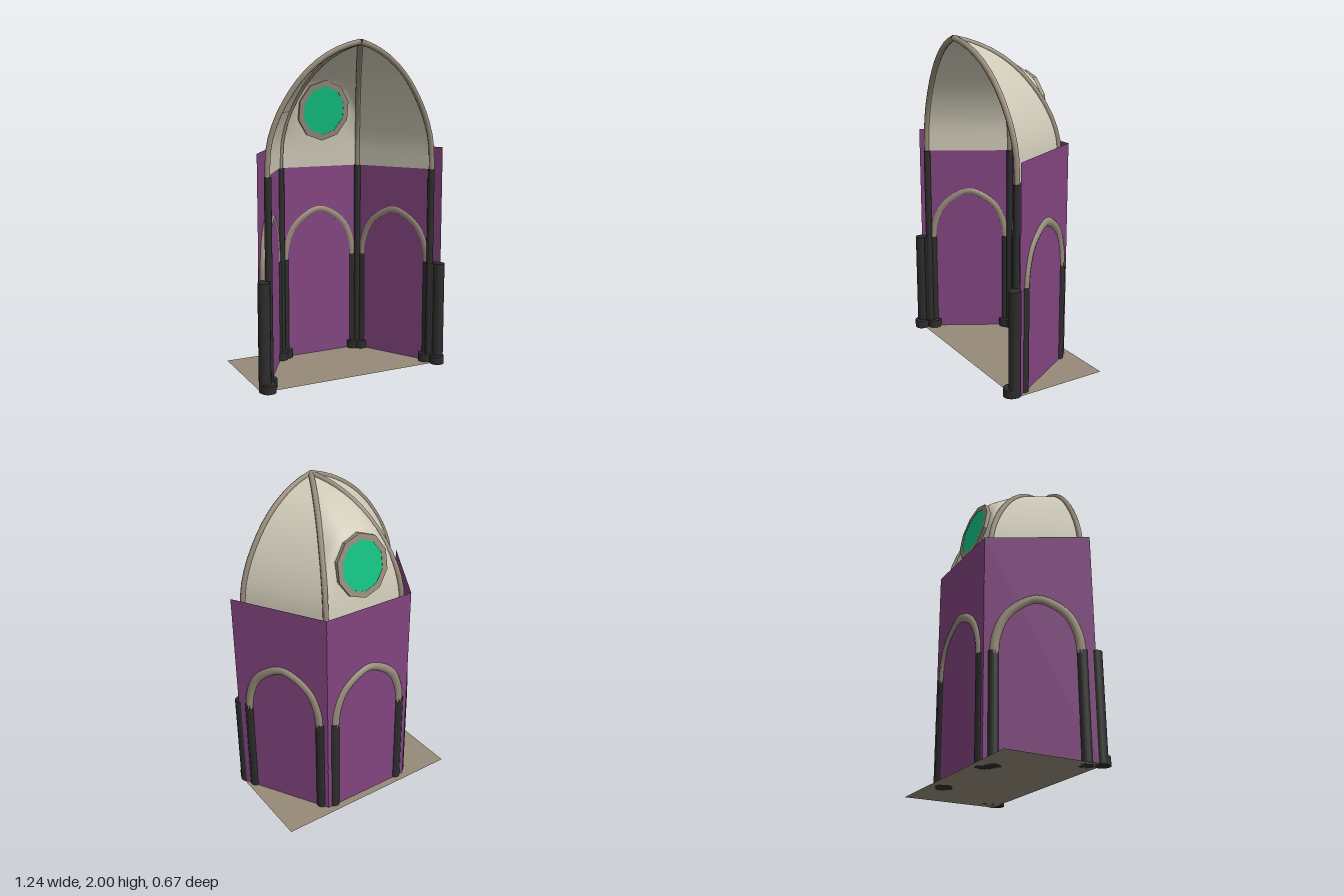
import * as THREE from 'three';

const mat = (name, color, side = THREE.FrontSide) => {
  const m = new THREE.MeshStandardMaterial({ color, side });
  m.name = name;
  return m;
};
const V = (x, y, z) => new THREE.Vector3(x, y, z);

export function createModel() {
  const purple = mat('purple wall', 0x81447f, THREE.DoubleSide);
  const cream = mat('cream dome', 0xcfcab8, THREE.DoubleSide);
  const tan = mat('tan stone', 0x968b79, THREE.DoubleSide);
  const black = mat('black column', 0x2c2c2c);
  const green = mat('green glass', 0x10c282);

  const model = new THREE.Group();
  model.name = 'openApse';
  const add = (parent, name, geo, material, x = 0, y = 0, z = 0) => {
    const m = new THREE.Mesh(geo, material);
    m.name = name;
    m.position.set(x, y, z);
    parent.add(m);
    return m;
  };
  const ZC = 0.232; // centre of the half hexagon

  // floor slab
  add(model, 'floor', new THREE.PlaneGeometry(1.22, 0.61).rotateX(-Math.PI / 2), tan, 0, 0, -0.03);

  const column = (parent, name, x, z, r, h) =>
    add(parent, name, new THREE.CylinderGeometry(r, r, h, 16), black, x, h / 2, z);

  // three wall bays, each with inner and outer skin, an arch and two legs
  const archCurve = new THREE.CatmullRomCurve3([
    V(-0.243, 0.62, 0), V(-0.232, 0.72, 0), V(-0.185, 0.84, 0), V(-0.105, 0.915, 0), V(0, 0.956, 0),
    V(0.105, 0.915, 0), V(0.185, 0.84, 0), V(0.232, 0.72, 0), V(0.243, 0.62, 0)]);
  for (const [label, k] of [['back', 0], ['left', -1], ['right', 1]]) {
    const bay = new THREE.Group();
    bay.name = label + 'Bay';
    bay.position.z = ZC;
    bay.rotation.y = k * Math.PI / 3;
    model.add(bay);
    add(bay, 'innerWall', new THREE.PlaneGeometry(0.551, 1.23), purple, 0, 0.615, -0.477);
    // the side bays run slightly past the front corner
    add(bay, 'outerWall', new THREE.PlaneGeometry(k ? 0.62 : 0.6, 1.365), purple, -k * 0.01, 0.6825, -0.519);
    add(bay, 'arch', new THREE.TubeGeometry(archCurve, 32, 0.032, 10), tan, 0, 0, -0.503);
    for (const s of [-1, 1]) {
      column(bay, 'archLeg', s * 0.245, -0.5, 0.035, 0.64);
      column(bay, 'legBase', s * 0.245, -0.474, 0.045, 0.05);
    }
  }

  // corner shafts, and the end columns at the open front
  const corners = [[-1, 0], [-0.5, -0.866], [0.5, -0.866], [1, 0]];
  corners.forEach(([cx, cz]) => {
    column(model, 'cornerShaft', cx * 0.54, ZC + cz * 0.54, 0.021, 1.23);
    column(model, 'cornerColumn', cx * 0.56, ZC + cz * 0.56, 0.032, 0.64);
  });
  for (const s of [-1, 1]) {
    column(model, 'frontColumn', s * 0.585, 0.268, 0.036, 0.64);
    column(model, 'frontColumnBase', s * 0.57, 0.285, 0.045, 0.05);
  }

  // dome ribs: height against share of the base radius
  const profile = [[1.23, 1], [1.4, 0.98], [1.53, 0.91], [1.65, 0.8], [1.78, 0.63], [1.88, 0.43], [1.95, 0.2], [1.983, 0]];
  const ribs = corners.map(([cx, cz]) => new THREE.CatmullRomCurve3(profile.map(([y, f]) =>
    V(cx * 0.543 * f, y, THREE.MathUtils.lerp(0.313, ZC + cz * 0.543, f)))));
  ribs.forEach((c) => add(model, 'domeRib', new THREE.TubeGeometry(c, 14, 0.017, 8), tan));

  // dome panels between neighbouring ribs, optionally bulging to a middle line
  const backMiddle = new THREE.CatmullRomCurve3([
    V(0, 1.23, -0.24), V(0, 1.4, -0.222), V(0, 1.58, -0.194), V(0, 1.75, -0.163),
    V(0, 1.82, -0.07), V(0, 1.89, 0.05), V(0, 1.95, 0.2), V(0, 1.983, 0.313)]);
  const panel = (a, b, middle) => {
    const ROWS = 21, COLS = 12, pos = [], idx = [];
    for (let i = 0; i <= ROWS; i++) {
      const t = i / ROWS, p = a.getPoint(t), q = b.getPoint(t);
      const mid = p.clone().lerp(q, 0.5);
      const bulge = middle ? middle.getPoint(t).sub(mid) : V(0, 0, 0);
      for (let j = 0; j <= COLS; j++) {
        const u = j / COLS, w = 1 - Math.abs(2 * u - 1) ** 3;
        pos.push(...p.clone().lerp(q, u).addScaledVector(bulge, w).toArray());
        if (i < ROWS && j < COLS) {
          const n = i * (COLS + 1) + j, m = n + COLS + 1;
          idx.push(n, m, n + 1, n + 1, m, m + 1);
        }
      }
    }
    const g = new THREE.BufferGeometry();
    g.setAttribute('position', new THREE.Float32BufferAttribute(pos, 3));
    g.setIndex(idx);
    g.computeVertexNormals();
    return g;
  };
  add(model, 'rightDomePanel', panel(ribs[0], ribs[1]), cream);
  add(model, 'backDomePanel', panel(ribs[1], ribs[2], backMiddle), cream);
  add(model, 'leftDomePanel', panel(ribs[2], ribs[3]), cream);

  // ten-sided window, leaning with the back panel
  const decagon = (r, T) => {
    const s = new T();
    for (let i = 0; i <= 10; i++) {
      const a = (i + 0.5) * Math.PI / 5;
      s[i ? 'lineTo' : 'moveTo'](Math.cos(a) * r * 0.94, Math.sin(a) * r * 1.02);
    }
    return s;
  };
  const windowGroup = new THREE.Group();
  windowGroup.name = 'window';
  windowGroup.position.set(0, 1.588, -0.192);
  windowGroup.rotation.x = 0.17;
  model.add(windowGroup);
  const ring = decagon(0.187, THREE.Shape);
  ring.holes.push(decagon(0.15, THREE.Path));
  const slab = (shape, depth) => new THREE.ExtrudeGeometry(shape, { depth, bevelEnabled: false }).translate(0, 0, -depth / 2);
  add(windowGroup, 'windowFrame', slab(ring, 0.04), tan);
  add(windowGroup, 'windowGlass', slab(decagon(0.15, THREE.Shape), 0.036), green);

  return model;
}
